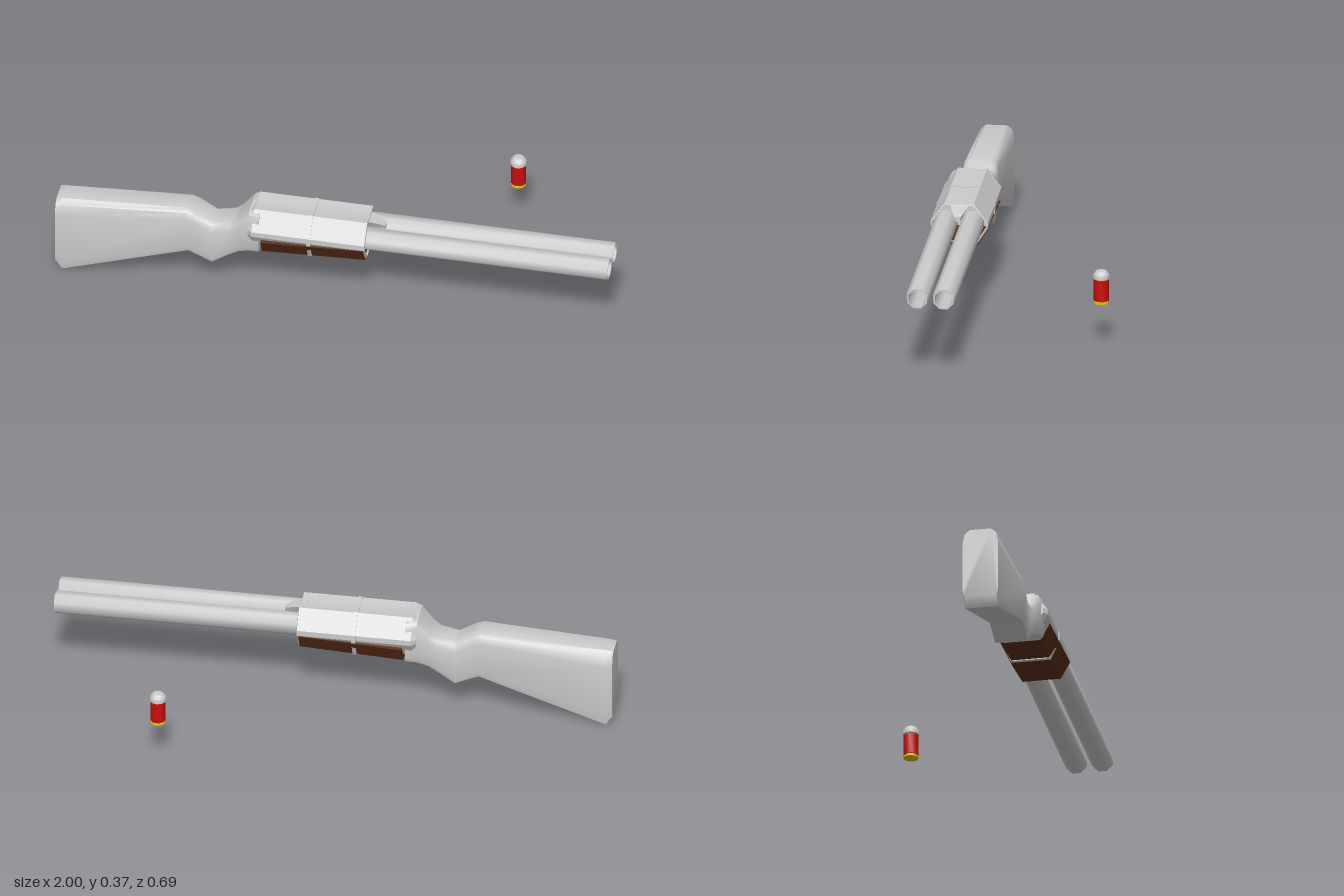
import * as THREE from 'three';
import { toCreasedNormals } from 'three/addons/utils/BufferGeometryUtils.js';

const GREY = 0xcccccc, BROWN = 0x5c3018, RED = 0xcc0c0c, YELLOW = 0xdcc80c;

function mesh(name, geometry, color, crease = 0.6) {
  const m = new THREE.Mesh(toCreasedNormals(geometry, crease), new THREE.MeshStandardMaterial({ color }));
  m.name = name;
  return m;
}

// Mirror half an outline of [z, y, x] points (top to bottom) into a full ring
function ring(half, x) {
  const pts = half.map(([z, y, px = x]) => [px, y, z]);
  const other = pts.filter(p => p[2] > 0).reverse().map(p => [p[0], p[1], -p[2]]);
  return pts.concat(other);
}

// Skin a list of rings running along +x and cap both ends
function loft(rings) {
  const n = rings[0].length, last = (rings.length - 1) * n, index = [];
  for (let i = 0; i < rings.length - 1; i++) {
    for (let j = 0; j < n; j++) {
      const a = i * n + j, b = i * n + (j + 1) % n;
      index.push(a, b, a + n, b, b + n, a + n);
    }
  }
  for (let j = 1; j < n - 1; j++) {
    index.push(0, j + 1, j, last, last + j, last + j + 1);
  }
  const g = new THREE.BufferGeometry();
  g.setAttribute('position', new THREE.Float32BufferAttribute(rings.flat(2), 3));
  g.setIndex(index);
  return g;
}

const lathe = (pts, sides) => new THREE.LatheGeometry(pts.map(p => new THREE.Vector2(...p)), sides);

// Scale a half outline about the middle of the receiver
const scaled = (half, s) => half.map(([z, y]) => [z * s, 0.285 + (y - 0.285) * s]);

function createGun() {
  const gun = new THREE.Group();
  gun.name = 'gun';

  // Stock: top x, top y, bottom x, bottom y, half width
  const stations = [
    [-1, 0.293, -1, 0.035, 0.064],
    [-0.975, 0.297, -0.975, 0, 0.064],
    [-0.525, 0.323, -0.52, 0.152, 0.064],
    [-0.5, 0.315, -0.48, 0.135, 0.064],
    [-0.435, 0.276, -0.435, 0.113, 0.062],
    [-0.365, 0.29, -0.385, 0.148, 0.064],
    [-0.34, 0.31, -0.34, 0.178, 0.068],
    [-0.3, 0.358, -0.3, 0.196, 0.08],
    [-0.26, 0.36, -0.26, 0.2, 0.085],
  ];
  const stockRings = stations.map(([xt, yt, xb, yb, w]) => {
    const at = (z, t) => [z, yt + (yb - yt) * t, xt + (xb - xt) * t];
    return ring([at(w * 0.6, 0), at(w * 0.88, 0.06), at(w, 0.2), at(w, 0.9), at(w * 0.92, 1)]);
  });
  gun.add(mesh('stock', loft(stockRings), GREY, 0.75));

  // Receiver with a shallow recess in its front face
  const body = [[0, 0.36], [0.052, 0.367], [0.102, 0.3], [0.102, 0.28], [0.066, 0.222]];
  gun.add(mesh('receiver', loft([
    ring(scaled(body, 0.86), -0.3), ring(body, -0.283), ring(body, 0.125),
    ring(scaled(body, 0.93), 0.127), ring(scaled(body, 0.9), 0.105),
  ]), GREY, 0.4));

  // Raised band round the receiver
  const band = [[0, 0.363], [0.053, 0.37], [0.104, 0.301], [0.104, 0.273], [0.07, 0.203]];
  gun.add(mesh('receiverBand', loft([ring(band, -0.085), ring(band, -0.07)]), GREY, 0.4));

  // Wooden fore grip, its underside rising towards the front
  const grip = rise => [[0.09, 0.272 + rise], [0.103, 0.268 + rise], [0.069, 0.207 + rise]];
  gun.add(mesh('foreGrip', loft([ring(grip(-0.009), -0.25), ring(grip(0.009), 0.12)]), BROWN, 0.4));

  // Tapered rib between the barrels
  gun.add(mesh('rib', loft([
    ring([[0.034, 0.362], [0.012, 0.322]], 0.1),
    ring([[0.028, 0.353], [0.012, 0.32]], 0.14),
    ring([[0.012, 0.335], [0.008, 0.318]], 0.183),
  ]), GREY, 0.4));

  // Twin hollow barrels
  for (const side of [-1, 1]) {
    const tube = lathe([[0.041, 0.05], [0.041, 0.994], [0.039, 1], [0.033, 1], [0.033, 0.13], [0, 0.13]], 8);
    tube.rotateY(Math.PI / 8).rotateZ(-Math.PI / 2);
    const barrel = mesh(side > 0 ? 'frontBarrel' : 'backBarrel', tube, GREY, 0.9);
    barrel.position.set(0, 0.296, side * 0.047);
    gun.add(barrel);
  }
  gun.position.z = 0.24;
  return gun;
}

function createCartridge() {
  const cartridge = new THREE.Group();
  cartridge.name = 'cartridge';
  const parts = [
    ['brassBase', [[0, 0.156], [0.027, 0.156], [0.027, 0.163], [0.024, 0.164], [0.024, 0.168]], YELLOW],
    ['casing', [[0, 0.166], [0.027, 0.166], [0.027, 0.242], [0, 0.242]], RED],
    ['neck', [[0.019, 0.241], [0.019, 0.249]], YELLOW],
    ['slug', [[0, 0.247], [0.029, 0.247], [0.029, 0.262], [0.019, 0.275], [0.009, 0.278], [0, 0.278]], GREY],
  ];
  for (const [name, profile, color] of parts) {
    cartridge.add(mesh(name, lathe(profile, 16), color, 0.7));
  }
  cartridge.position.set(0.545, 0, -0.315);
  return cartridge;
}

export function createModel() {
  const model = new THREE.Group();
  model.name = 'doubleBarrelledGunAndCartridge';
  model.add(createGun(), createCartridge());
  return model;
}
